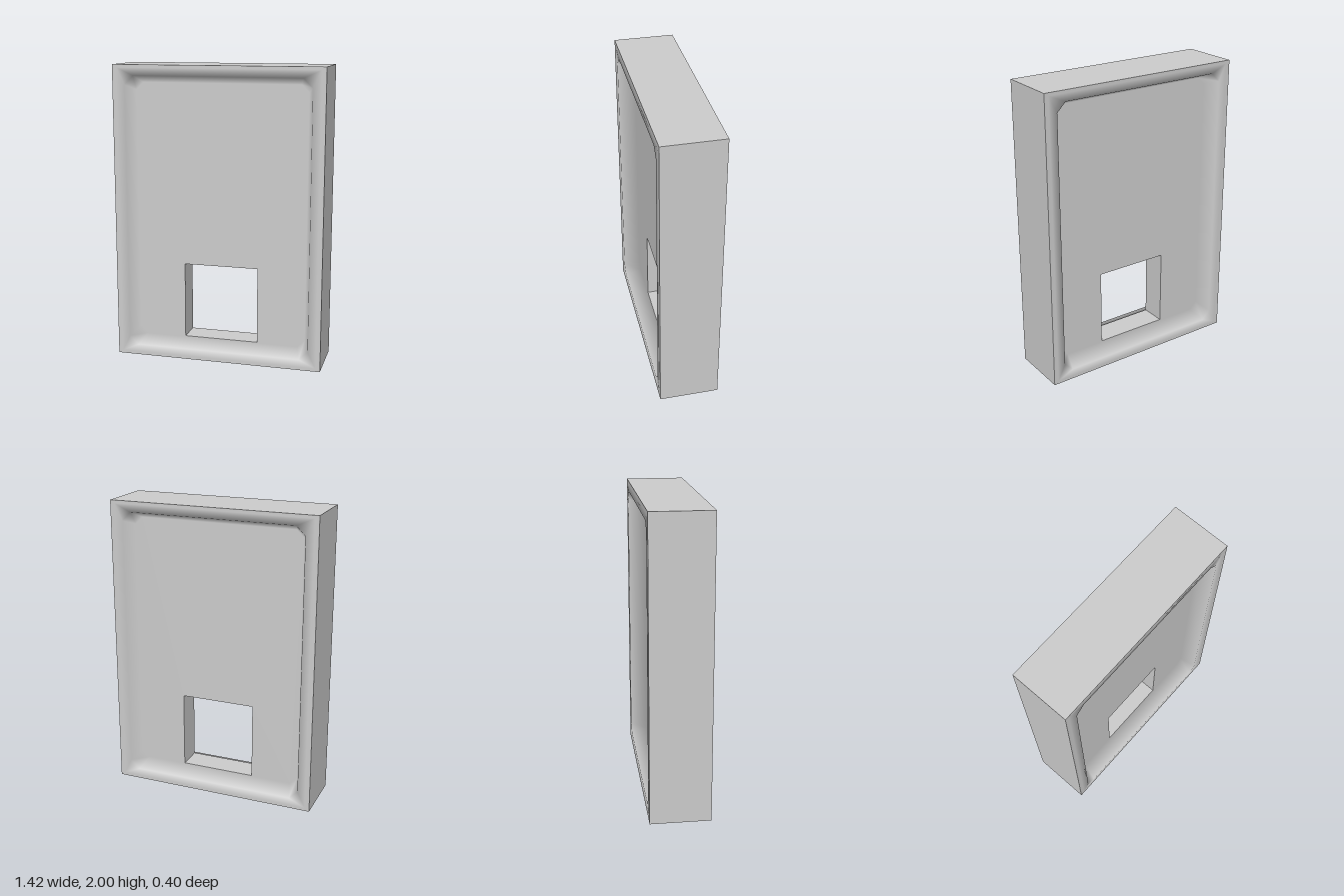
import * as THREE from 'three';

const W = 1.42, H = 2, D = 0.4;
const RECESS = 0.113;
const OPENING = { w: 0.51, h: 0.52, y: 0.385 };

// Rectangle inset from the outer edge, with cut corners, counter-clockwise
function ring(ix, iy, cut) {
  const w = W / 2 - ix, h = H / 2 - iy, m = H / 2;
  return [
    [w, m - h + cut], [w, m + h - cut], [w - cut, m + h], [-w + cut, m + h],
    [-w, m + h - cut], [-w, m - h + cut], [-w + cut, m - h], [w - cut, m - h],
  ];
}

// Four walls of a box, without its front and back
function openBox(w, h, d, y) {
  const geo = new THREE.BoxGeometry(w, h, d);
  geo.setIndex(Array.from(geo.index.array.slice(0, 24)));
  return geo.translate(0, y, 0);
}

// Soft raised border: flat rim, lip, then a steep wall down to the panel
function borderGeometry() {
  const rows = [
    { pts: ring(0, 0, 0), z: 0, tilt: 0 },
    { pts: ring(0.03, 0.02, 0), z: 0, tilt: 0 },
    { pts: ring(0.085, 0.072, 0.06), z: 0, tilt: 0.85 },
    { pts: ring(0.125, 0.12, 0.05), z: -RECESS, tilt: 0 },
  ];
  const inward = [[-1, 0], [-1, 0], [0, -1], [0, -1], [1, 0], [1, 0], [0, 1], [0, 1]];
  const pos = [], nor = [], idx = [];
  rows.forEach(({ pts, z, tilt }, r) => pts.forEach(([x, y], j) => {
    pos.push(x, y, D / 2 + z);
    nor.push(inward[j][0] * Math.sin(tilt), inward[j][1] * Math.sin(tilt), Math.cos(tilt));
    if (r === rows.length - 1) return;
    const a = r * 8 + j, b = r * 8 + (j + 1) % 8;
    idx.push(a, b, b + 8, a, b + 8, a + 8);
  }));
  const geo = new THREE.BufferGeometry();
  geo.setAttribute('position', new THREE.Float32BufferAttribute(pos, 3));
  geo.setAttribute('normal', new THREE.Float32BufferAttribute(nor, 3));
  geo.setIndex(idx);
  return geo;
}

// Recessed panel pierced by the opening
function panelGeometry() {
  const shape = new THREE.Shape(ring(0.125, 0.12, 0.05).map(([x, y]) => new THREE.Vector2(x, y)));
  const { w, h, y } = OPENING;
  const hole = [[-1, -1], [-1, 1], [1, 1], [1, -1]]
    .map(([sx, sy]) => new THREE.Vector2(sx * w / 2, y + sy * h / 2));
  shape.holes.push(new THREE.Path(hole));
  return new THREE.ShapeGeometry(shape).translate(0, 0, D / 2 - RECESS);
}

export function createModel() {
  const model = new THREE.Group();
  model.name = 'wallPanel';
  const grey = new THREE.MeshStandardMaterial({ color: 0xcccccc });
  const greyDouble = new THREE.MeshStandardMaterial({ color: 0xcccccc, side: THREE.DoubleSide });
  const add = (parent, name, geo, mat = grey) => {
    const mesh = new THREE.Mesh(geo, mat);
    mesh.name = name;
    parent.add(mesh);
  };

  // Outer edges and the lining of the opening
  add(model, 'outerEdges', openBox(W, H, D, H / 2));
  add(model, 'openingLining',
    openBox(OPENING.w, OPENING.h, D - 2 * RECESS, OPENING.y), greyDouble);

  // Matching front and back faces
  const border = borderGeometry(), panel = panelGeometry();
  ['front', 'back'].forEach((side, i) => {
    const face = new THREE.Group();
    face.name = side + 'Face';
    face.rotation.y = i * Math.PI;
    add(face, side + 'Border', border);
    add(face, side + 'Panel', panel);
    model.add(face);
  });
  return model;
}
